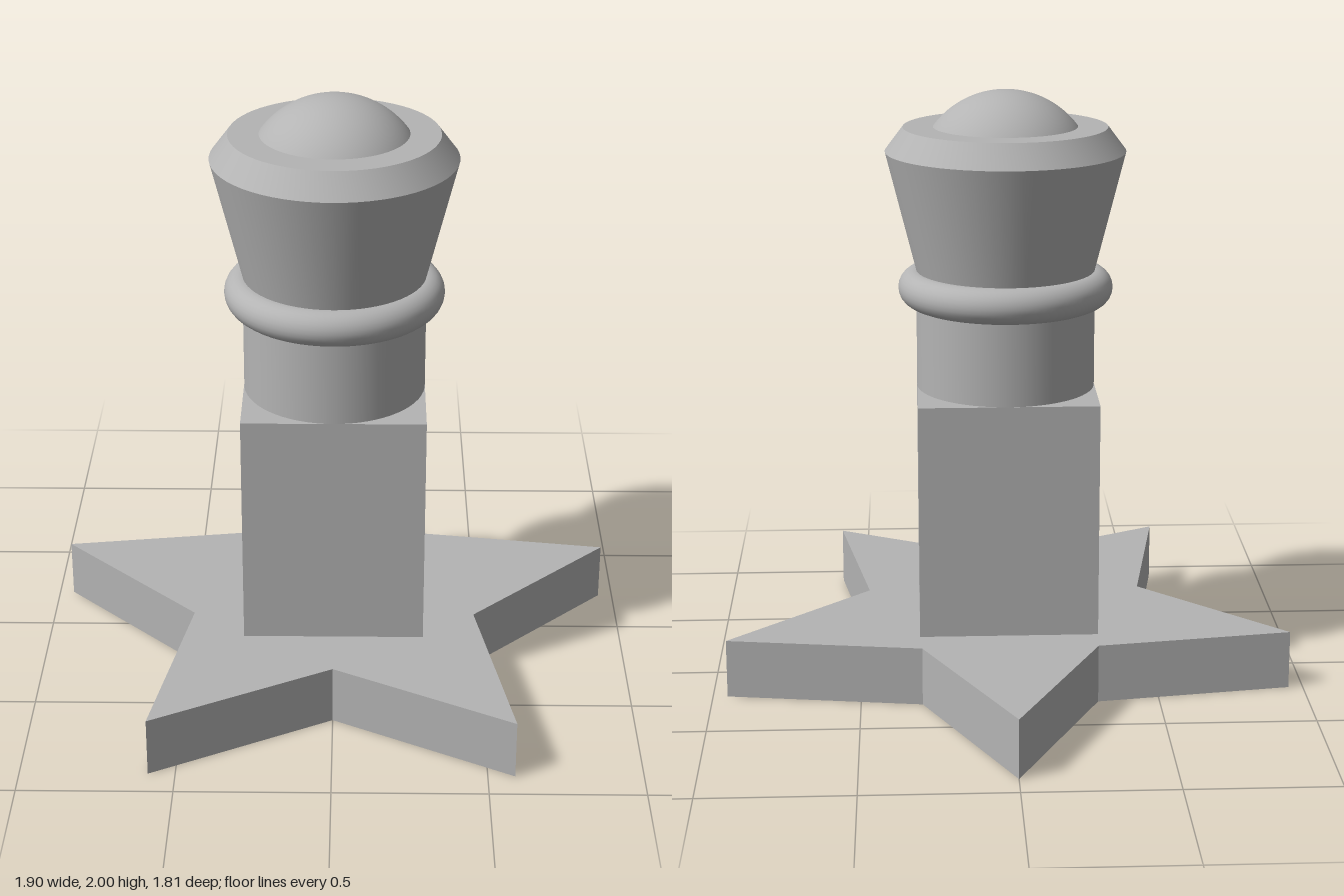
import * as THREE from 'three';
import { toCreasedNormals } from 'three/addons/utils/BufferGeometryUtils.js';

// five-pointed star outline: tip radius 1, valley radius 0.5, one tip to the back
function starShape() {
  const points = [];
  for (let i = 0; i < 10; i++) {
    const r = i % 2 ? 0.5 : 1;
    const a = Math.PI / 2 + (i * Math.PI) / 5;
    points.push(new THREE.Vector2(r * Math.cos(a), r * Math.sin(a)));
  }
  return new THREE.Shape(points);
}

// flat slab lying on the ground plane, rising by height
function slab(shape, height) {
  const geo = new THREE.ExtrudeGeometry(shape, { depth: height, bevelEnabled: false, curveSegments: 48 });
  return geo.rotateX(-Math.PI / 2);
}

export function createModel() {
  const grey = new THREE.MeshStandardMaterial({ color: 0xb4b4b4 });
  grey.name = 'grey';
  const model = new THREE.Group();
  model.name = 'starBasedPillar';

  const add = (name, geometry, y) => {
    const mesh = new THREE.Mesh(geometry, grey);
    mesh.name = name;
    mesh.position.set(0, y, 0.0955);
    model.add(mesh);
  };

  // star base: lower slab carries two round blind holes, upper slab closes them
  const holeDepth = 0.12;
  const lower = starShape();
  for (const s of [-1, 1]) {
    const hole = new THREE.Path();
    hole.absarc(s * 0.13, -s * 0.255, 0.2, 0, Math.PI * 2, true);
    lower.holes.push(hole);
  }
  add('starBaseLower', toCreasedNormals(slab(lower, holeDepth), 0.5), 0);
  add('starBaseUpper', slab(starShape(), 0.2 - holeDepth), holeDepth);

  // square column and round neck
  add('column', new THREE.BoxGeometry(0.6, 0.8, 0.6), 0.6);
  add('neck', new THREE.CylinderGeometry(0.3, 0.3, 0.4, 64), 1.2);

  // rounded collar ring
  add('collar', new THREE.TorusGeometry(0.3, 0.06, 24, 80).rotateX(Math.PI / 2), 1.34);

  // flared head with bevelled rim
  const profile = [[0, 1.4], [0.3, 1.4], [0.4, 1.8], [0.34, 1.88], [0, 1.88]];
  const head = new THREE.LatheGeometry(profile.map(([r, y]) => new THREE.Vector2(r, y)), 64);
  add('head', toCreasedNormals(head, 0.5), 0);

  // shallow dome: cap of a sphere of radius 0.3
  add('dome', new THREE.SphereGeometry(0.3, 64, 20, 0, Math.PI * 2, 0, Math.acos(0.6)), 1.7);

  return model;
}
